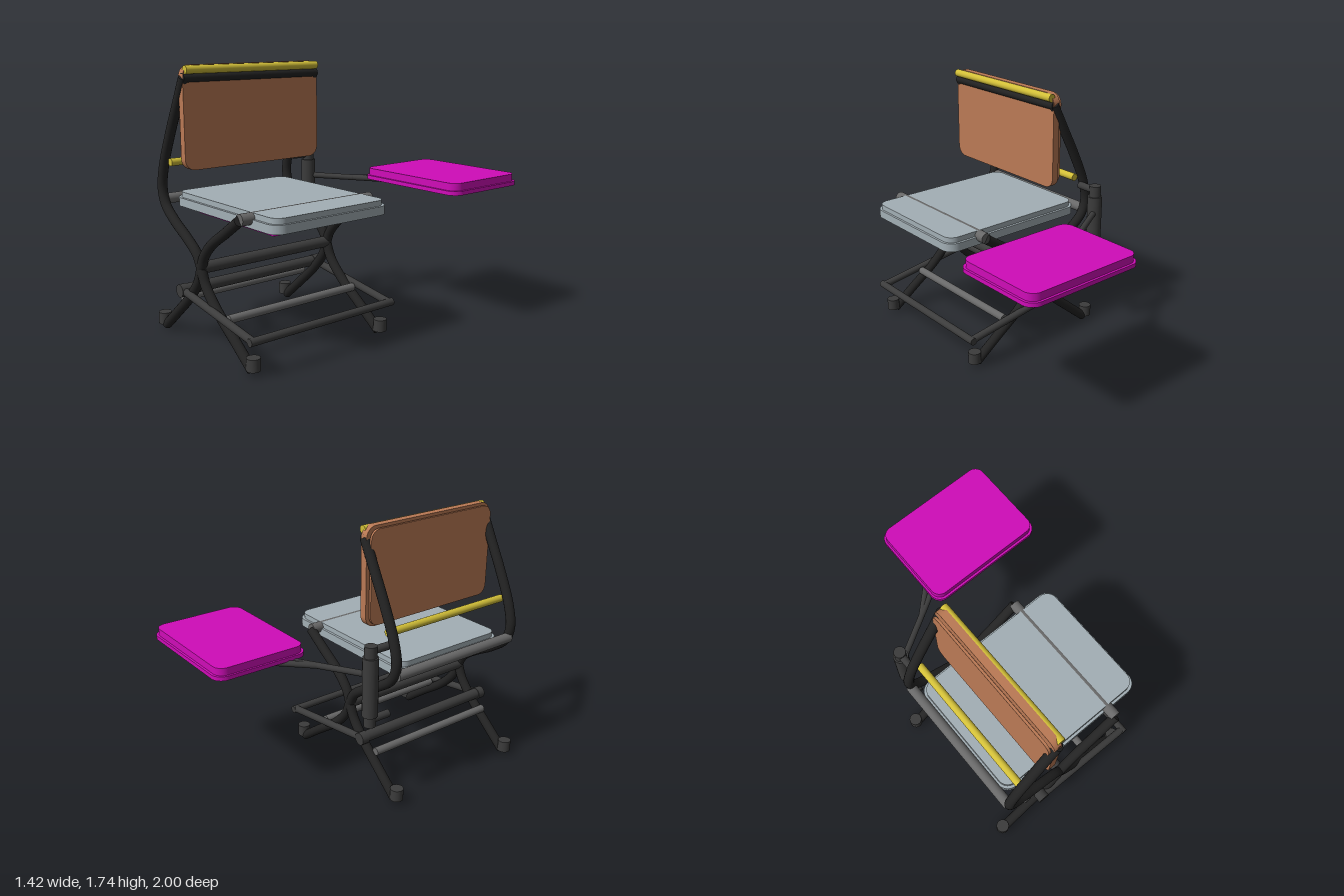
import * as THREE from 'three';

const mat = (name, color) => {
  const m = new THREE.MeshStandardMaterial({ color });
  m.name = name;
  return m;
};

export function createModel() {
  const root = new THREE.Group();
  root.name = 'foldingChair';
  const black = mat('frame black', 0x232323);
  const dark = mat('dark grey', 0x3c3c3c);
  const grey = mat('mid grey', 0x686868);
  const pale = mat('seat blue grey', 0xa3afb5);
  const brown = mat('backrest brown', 0xbb7a55);
  const magenta = mat('tray magenta', 0xcf0cb8);
  const yellow = mat('rod yellow', 0xd2bf38);

  const V = (x, y, z) => new THREE.Vector3(x, y, z);
  const add = (name, geo, material, parent = root) => {
    const mesh = new THREE.Mesh(geo, material);
    mesh.name = name;
    parent.add(mesh);
    return mesh;
  };

  // Straight rod between two points
  const rod = (name, a, b, r, material) => {
    const d = b.clone().sub(a);
    const m = add(name, new THREE.CylinderGeometry(r, r, d.length(), 20), material);
    m.position.copy(a).add(b).multiplyScalar(0.5);
    m.quaternion.setFromUnitVectors(V(0, 1, 0), d.normalize());
    return m;
  };

  // Bent tube with flat closed ends
  const bentTube = (name, pts, z, r, material) => {
    const g = new THREE.Group();
    g.name = name;
    root.add(g);
    const curve = new THREE.CatmullRomCurve3(pts.map(([x, y]) => V(x, y, z)));
    add(name + 'Tube', new THREE.TubeGeometry(curve, 80, r, 18), material, g);
    [0, 1].forEach((t) => {
      const cap = add(name + 'End', new THREE.CircleGeometry(r, 18), material, g);
      cap.position.copy(curve.getPoint(t));
      cap.quaternion.setFromUnitVectors(V(0, 0, 1), curve.getTangent(t).multiplyScalar(t ? 1 : -1));
    });
  };

  // Rounded rectangle plate, centred on its outline, thickness along +z
  const plate = (w, h, r, depth) => {
    const s = new THREE.Shape();
    const x = w / 2, y = h / 2;
    s.moveTo(-x + r, -y);
    s.lineTo(x - r, -y);
    s.absarc(x - r, -y + r, r, -Math.PI / 2, 0);
    s.absarc(x - r, y - r, r, 0, Math.PI / 2);
    s.absarc(-x + r, y - r, r, Math.PI / 2, Math.PI);
    s.absarc(-x + r, -y + r, r, Math.PI, Math.PI * 1.5);
    return new THREE.ExtrudeGeometry(s, { depth, bevelEnabled: false, curveSegments: 8 });
  };
  const flatPlate = (name, x0, x1, z0, z1, y0, y1, r, material) =>
    add(name, plate(x1 - x0, z1 - z0, r, y1 - y0).rotateX(-Math.PI / 2)
      .translate((x0 + x1) / 2, y0, (z0 + z1) / 2), material);
  const uprightPlate = (name, x0, x1, y0, y1, z0, z1, r, material) =>
    add(name, plate(z1 - z0, y1 - y0, r, x1 - x0).rotateY(Math.PI / 2)
      .translate(x0, (y0 + y1) / 2, (z0 + z1) / 2), material);

  // Side frames: two crossing bent tubes on each side, with feet
  const mid = 0.443;
  const backCurve = [[-0.315, 1.67], [-0.41, 1.49], [-0.505, 1.31], [-0.6, 1.1], [-0.63, 0.953],
    [-0.595, 0.85], [-0.48, 0.757], [-0.34, 0.677], [-0.225, 0.595], [-0.18, 0.515],
    [-0.14, 0.42], [-0.02, 0.293], [0.17, 0.155], [0.345, 0.026]];
  const seatCurve = [[0.25, 0.89], [0.1, 0.79], [-0.06, 0.685], [-0.145, 0.595], [-0.18, 0.515],
    [-0.22, 0.42], [-0.33, 0.293], [-0.49, 0.155], [-0.645, 0.026]];
  [1, -1].forEach((s) => {
    const z = mid + s * 0.497;
    bentTube('backFrame', backCurve, z, 0.032, black);
    bentTube('seatFrame', seatCurve, z, 0.032, black);
    [-0.668, 0.362].forEach((x) => rod('foot', V(x, 0.03, z), V(x, 0.108, z), 0.043, dark));

    // Footrest side arm and pivot
    const fz = mid + s * 0.53;
    rod('footrestArm', V(-0.355, 0.34, fz), V(0.41, 0.225, fz), 0.025, dark);
    rod('footrestPivot', V(-0.355, 0.34, fz - 0.027), V(-0.355, 0.34, fz + 0.027), 0.042, dark);
  });

  // Cross bars between the side frames
  const crossBar = (name, x, y, half, r, material) =>
    rod(name, V(x, y, mid - half), V(x, y, mid + half), r, material);
  crossBar('topBar', -0.315, 1.667, 0.51, 0.03, black);
  crossBar('centreBar', -0.18, 0.52, 0.49, 0.038, dark);
  crossBar('footrestPivotBar', -0.355, 0.342, 0.52, 0.037, dark);
  crossBar('footrestFrontBar', 0.41, 0.225, 0.555, 0.025, dark);
  crossBar('rearLegBar', -0.44, 0.262, 0.49, 0.027, grey);
  crossBar('frontLegBar', 0.1, 0.262, 0.49, 0.027, grey);
  crossBar('seatRearBar', -0.628, 0.88, 0.49, 0.034, grey);
  crossBar('seatFrontBar', 0.25, 0.895, 0.497, 0.0365, grey);
  crossBar('backrestUpperRod', -0.295, 1.717, 0.5, 0.026, yellow);
  crossBar('backrestLowerRod', -0.53, 1.13, 0.49, 0.025, yellow);

  // Seat with runners underneath
  flatPlate('seatBase', -0.6, 0.5, 0.003, 0.873, 0.84, 0.895, 0.08, pale);
  flatPlate('seatCushion', -0.585, 0.485, 0.02, 0.856, 0.895, 0.93, 0.07, pale);
  [0.135, 0.755].forEach((z) => {
    add('seatRunner', new THREE.BoxGeometry(0.805, 0.04, 0.068).translate(-0.032, 0.82, z), magenta);
  });

  // Backrest: front pad, recessed core and thin rear panel
  uprightPlate('backrestPad', -0.35, -0.3, 1.105, 1.745, -0.07, 0.955, 0.07, brown);
  uprightPlate('backrestCore', -0.365, -0.35, 1.18, 1.67, 0.005, 0.88, 0.06, brown);
  uprightPlate('backrestRearPanel', -0.379, -0.363, 1.12, 1.73, -0.055, 0.94, 0.065, brown);

  // Swivel post held by two short brackets
  const px = -0.57, pz = -0.205;
  rod('postCore', V(px, 0.57, pz), V(px, 1.105, pz), 0.039, dark);
  rod('postSleeve', V(px, 0.64, pz), V(px, 1.03, pz), 0.05, dark);
  [0.61, 1.07].forEach((y) => rod('postBracket', V(px, y, -0.06), V(px, y, pz), 0.025, dark));

  // Forked arm carrying the tray
  rod('trayArm', V(px, 0.915, pz), V(0.23, 0.915, -0.68), 0.02, dark);
  rod('trayArmFork', V(-0.28, 0.915, -0.375), V(0.2, 0.915, -0.845), 0.02, dark);
  flatPlate('trayBase', -0.15, 0.705, -1, -0.36, 0.93, 0.957, 0.075, magenta);
  flatPlate('trayTop', -0.137, 0.69, -0.985, -0.375, 0.957, 1.005, 0.065, magenta);

  return root;
}
